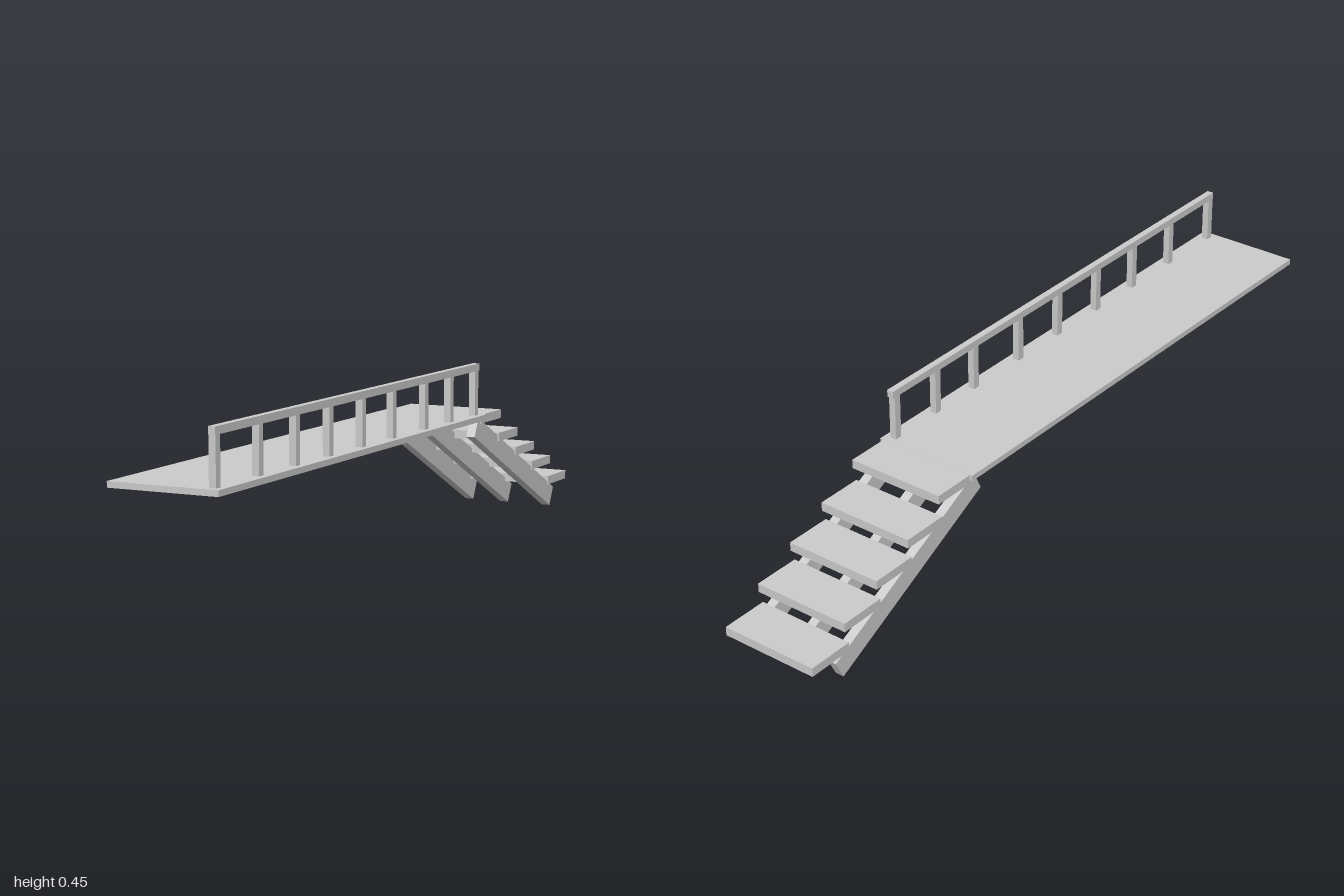
import * as THREE from 'three';

const material = new THREE.MeshStandardMaterial({ color: 0xcccccc, flatShading: true });

// Box given by its extents along each axis
function box(name, [x0, x1], [y0, y1], [z0, z1]) {
  const mesh = new THREE.Mesh(new THREE.BoxGeometry(x1 - x0, y1 - y0, z1 - z0), material);
  mesh.position.set((x0 + x1) / 2, (y0 + y1) / 2, (z0 + z1) / 2);
  mesh.name = name;
  return mesh;
}

export function createModel() {
  const model = new THREE.Group();
  model.name = 'walkwayWithStairs';

  // Long flat deck
  model.add(box('deck', [-0.1435, 0.1435], [0.302, 0.317], [-0.419, 1]));

  // Handrail along the left edge, on square posts
  const railing = new THREE.Group();
  railing.name = 'railing';
  const railX = [0.109, 0.127];
  railing.add(box('handrail', railX, [0.435, 0.454], [-0.406, 0.984]));
  for (const z of [0.973, 0.781, 0.607, 0.441, 0.27, 0.102, -0.083, -0.235, -0.39]) {
    railing.add(box('railPost', railX, [0.315, 0.437], [z - 0.01, z + 0.01]));
  }
  model.add(railing);

  // Open treads descending toward the back
  const stairs = new THREE.Group();
  stairs.name = 'stairs';
  const treadTops = [0.3165, 0.2535, 0.2, 0.145, 0.086];
  treadTops.forEach((top, i) => {
    const z = -0.408 - i * 0.116;
    stairs.add(box('tread', [-0.136, 0.133], [top - 0.0235, top], [z - 0.128, z]));
  });

  // Three sloping stringers, square-cut at both ends
  const length = 0.581, depth = 0.055, slope = Math.atan2(0.26, 0.519);
  for (const x of [-0.1215, -0.012, 0.117]) {
    const stringer = new THREE.Mesh(new THREE.BoxGeometry(0.0245, depth, length), material);
    stringer.name = 'stringer';
    stringer.position.set(x, 0.1546, -0.6458);
    stringer.rotation.x = -slope;
    stairs.add(stringer);
  }
  model.add(stairs);

  return model;
}
